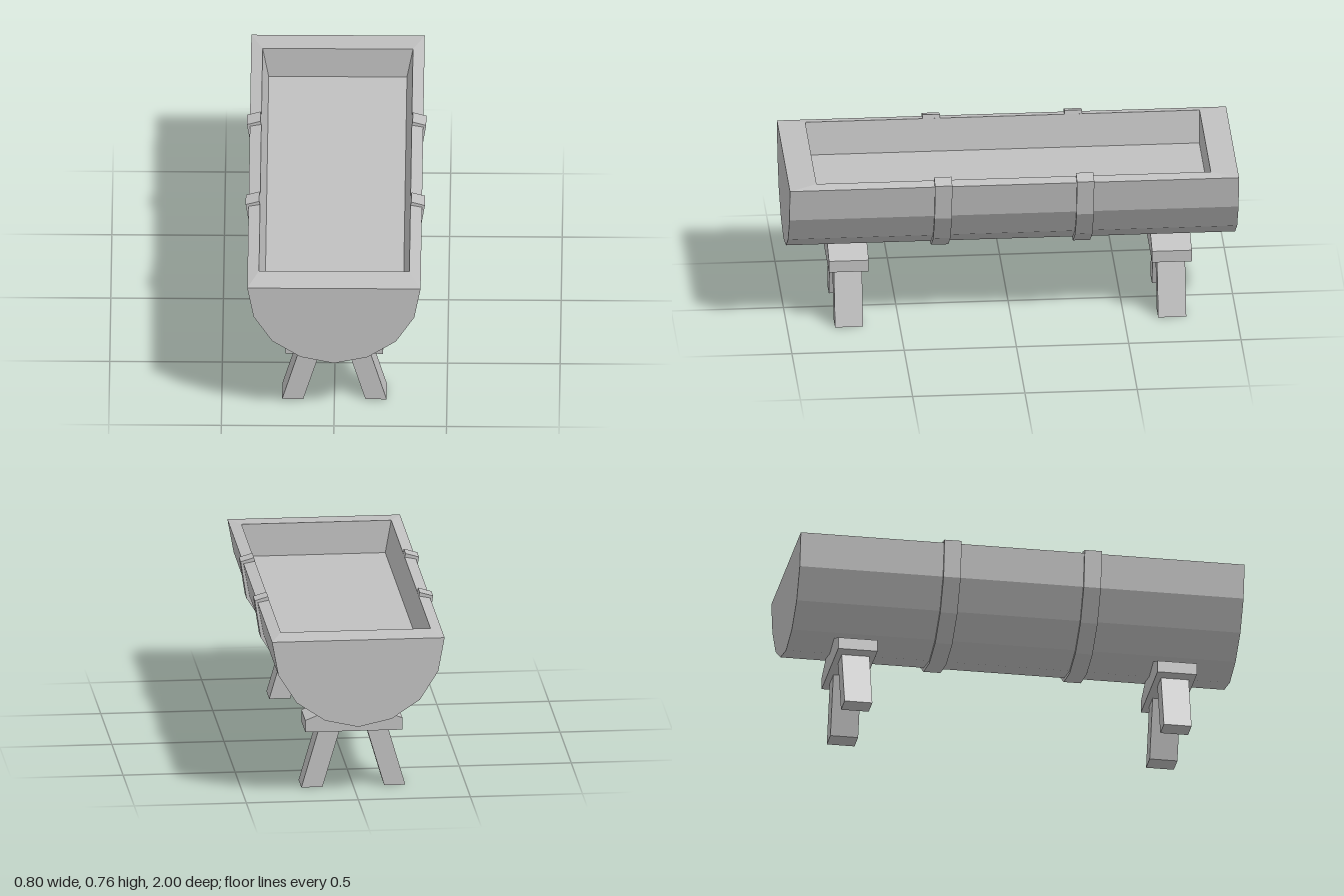
import * as THREE from 'three';

const stone = new THREE.MeshStandardMaterial({ color: 0xc0c0c0 });
stone.name = 'plain grey';

// right half of a profile (top to bottom centre) -> full outline, -x top round to +x top
const mirror = (half) => [
  ...half.map(([x, y]) => [-x, y]),
  ...half.filter(([x]) => x > 0).reverse(),
];

// flat-faced geometry from convex polygons
function facesGeometry(faces) {
  const pos = [];
  for (const f of faces)
    for (let i = 1; i < f.length - 1; i++) pos.push(...f[0], ...f[i], ...f[i + 1]);
  const g = new THREE.BufferGeometry();
  g.setAttribute('position', new THREE.Float32BufferAttribute(pos, 3));
  g.computeVertexNormals();
  return g;
}

// prism of an x/y outline centred on z
function slab(name, outline, z, depth) {
  const shape = new THREE.Shape(outline.map(([x, y]) => new THREE.Vector2(x, y)));
  const g = new THREE.ExtrudeGeometry(shape, { depth, bevelEnabled: false });
  g.translate(0, 0, z - depth / 2);
  const mesh = new THREE.Mesh(g, stone);
  mesh.name = name;
  return mesh;
}

const hullHalf = [[0.385, 0.738], [0.357, 0.585], [0.275, 0.455], [0.148, 0.37], [0, 0.337]];

function trough() {
  const p = mirror(hullHalf);
  const faces = [
    p.map(([x, y]) => [x, y, 1]),
    p.map(([x, y]) => [x, y, -1]).reverse(),
  ];
  // faceted outer hull
  for (let i = 0; i < p.length - 1; i++) {
    const a = p[i], b = p[i + 1];
    faces.push([[...b, 1], [...a, 1], [...a, -1], [...b, -1]]);
  }
  // sloped rim, inner walls and floor as nested rectangles
  const rect = (x, y, z) => [[x, y, z], [x, y, -z], [-x, y, -z], [-x, y, z]];
  const loops = [rect(0.385, 0.738, 1), rect(0.334, 0.748, 0.878), rect(0.307, 0.6, 0.875)];
  for (let k = 0; k < 2; k++)
    for (let i = 0; i < 4; i++) {
      const j = (i + 1) % 4;
      faces.push([loops[k][i], loops[k][j], loops[k + 1][j], loops[k + 1][i]]);
    }
  faces.push(loops[2]);
  const mesh = new THREE.Mesh(facesGeometry(faces), stone);
  mesh.name = 'trough';
  return mesh;
}

export function createModel() {
  const group = new THREE.Group();
  group.name = 'wateringTrough';
  group.add(trough());

  // straps wrapped under the hull and hooked over the rim
  const strapOuter = mirror([
    [0.334, 0.746], [0.338, 0.765], [0.398, 0.747], [0.372, 0.578], [0.285, 0.443], [0.153, 0.353], [0, 0.325],
  ]);
  const strapInner = mirror(hullHalf.map(([x, y]) => [x * 0.99, y - 0.001])).reverse();
  for (const z of [0.316, -0.316])
    group.add(slab('strap', [...strapOuter, ...strapInner], z, 0.077));

  // trestles: a shaped crossbeam on two splayed legs
  const beam = [
    [-0.217, 0.262], [0.217, 0.262], [0.217, 0.316], [0.108, 0.361], [-0.108, 0.361], [-0.217, 0.316],
  ];
  const leg = [[0.138, 0], [0.232, 0], [0.155, 0.265], [0.06, 0.265]];
  for (const z of [0.725, -0.714]) {
    const trestle = new THREE.Group();
    trestle.name = z > 0 ? 'frontTrestle' : 'backTrestle';
    trestle.add(slab('crossbeam', beam, z, 0.177));
    trestle.add(slab('leftLeg', leg, z, 0.125));
    trestle.add(slab('rightLeg', leg.map(([x, y]) => [-x, y]).reverse(), z, 0.125));
    group.add(trestle);
  }
  return group;
}
